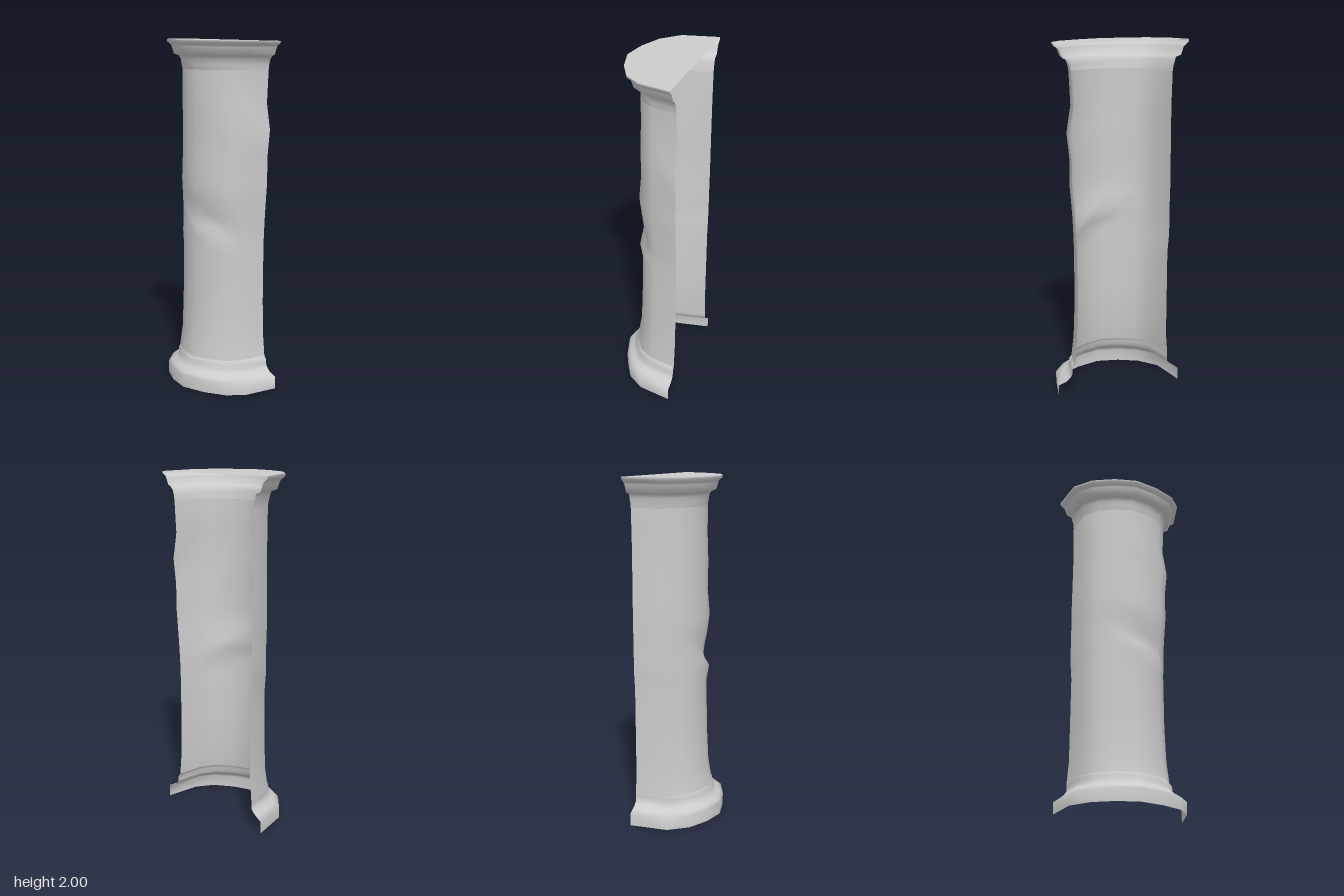
import * as THREE from 'three';

// Half-round plan, from the back edge around to the front edge: [depth, z], normalised
const PLAN = [[0, -1], [0.547, -0.88], [0.8, -0.63], [0.94, -0.3], [1, 0.06],
  [0.89, 0.425], [0.72, 0.73], [0.48, 0.908], [0, 1]];
const OPEN_X = 0.2;

// Profile rows: [y, depth, half width to the front, half width to the back]
const BASE = [[0, 0.4, 0.38, 0.355], [0.07, 0.4, 0.38, 0.355], [0.09, 0.39, 0.33, 0.325],
  [0.11, 0.365, 0.31, 0.3], [0.13, 0.345, 0.3, 0.285], [0.155, 0.345, 0.3, 0.285], [0.175, 0.333, 0.285, 0.285]];
const SHAFT = [[0.175, 0.333, 0.285, 0.285], [0.3, 0.312, 0.272, 0.275], [0.5, 0.302, 0.265, 0.275],
  [0.8, 0.296, 0.265, 0.275], [0.89, 0.3, 0.267, 0.282], [0.95, 0.294, 0.27, 0.284], [1.02, 0.294, 0.274, 0.284],
  [1.1, 0.298, 0.28, 0.284], [1.2, 0.304, 0.288, 0.286], [1.35, 0.296, 0.288, 0.285], [1.5, 0.296, 0.305, 0.284],
  [1.65, 0.296, 0.278, 0.284], [1.83, 0.293, 0.288, 0.288]];
const CAPITAL = [[1.83, 0.293, 0.288, 0.288], [1.86, 0.3, 0.292, 0.292], [1.885, 0.302, 0.3, 0.3],
  [1.905, 0.315, 0.315, 0.305], [1.915, 0.343, 0.335, 0.335], [1.955, 0.353, 0.35, 0.35],
  [1.965, 0.358, 0.355, 0.36], [1.98, 0.375, 0.378, 0.38], [1.993, 0.375, 0.38, 0.38]];

// Worn patches on the shaft: [y, plan index, inward distance]
const DENTS = [[0.89, 5, -0.012], [0.95, 5, 0.022], [0.95, 6, 0.012], [1.02, 4, 0.016],
  [1.02, 5, 0.012], [1.1, 3, 0.008], [1.2, 5, -0.006]];

function ring([y, depth, front, back]) {
  return PLAN.map(([d, z], i) => {
    const dent = DENTS.find((e) => e[0] === y && e[1] === i);
    const k = dent ? 1 - dent[2] / 0.3 : 1;
    const tilt = y > 1.9 ? -0.018 * z * (y - 1.9) / 0.093 * 0.4 : 0;
    return [OPEN_X - d * depth * k, y + tilt, z * (z > 0 ? front : back) * k];
  });
}

function makeMesh(name, points, index, material) {
  const geometry = new THREE.BufferGeometry();
  geometry.setAttribute('position', new THREE.Float32BufferAttribute(points.flat(), 3));
  geometry.setIndex(index);
  geometry.computeVertexNormals();
  const mesh = new THREE.Mesh(geometry, material);
  mesh.name = name;
  return mesh;
}

// Open shell lofted through the profile rows
function shell(name, rows, material) {
  const n = PLAN.length, index = [];
  for (let r = 0; r < rows.length - 1; r++) {
    for (let i = 0; i < n - 1; i++) {
      const a = r * n + i, b = a + n;
      index.push(a, a + 1, b, a + 1, b + 1, b);
    }
  }
  return makeMesh(name, rows.flatMap(ring), index, material);
}

export function createModel() {
  const stone = new THREE.MeshStandardMaterial({ color: 0xcccccc, side: THREE.DoubleSide });
  stone.name = 'stone grey';
  const column = new THREE.Group();
  column.name = 'halfColumn';

  column.add(shell('base', BASE, stone));
  column.add(shell('shaft', SHAFT, stone));
  column.add(shell('capital', CAPITAL, stone));

  // Flat slab closing the top
  const fan = [];
  for (let i = 1; i < PLAN.length - 1; i++) fan.push(0, i, i + 1);
  column.add(makeMesh('topSlab', ring(CAPITAL[CAPITAL.length - 1]), fan, stone));
  return column;
}
